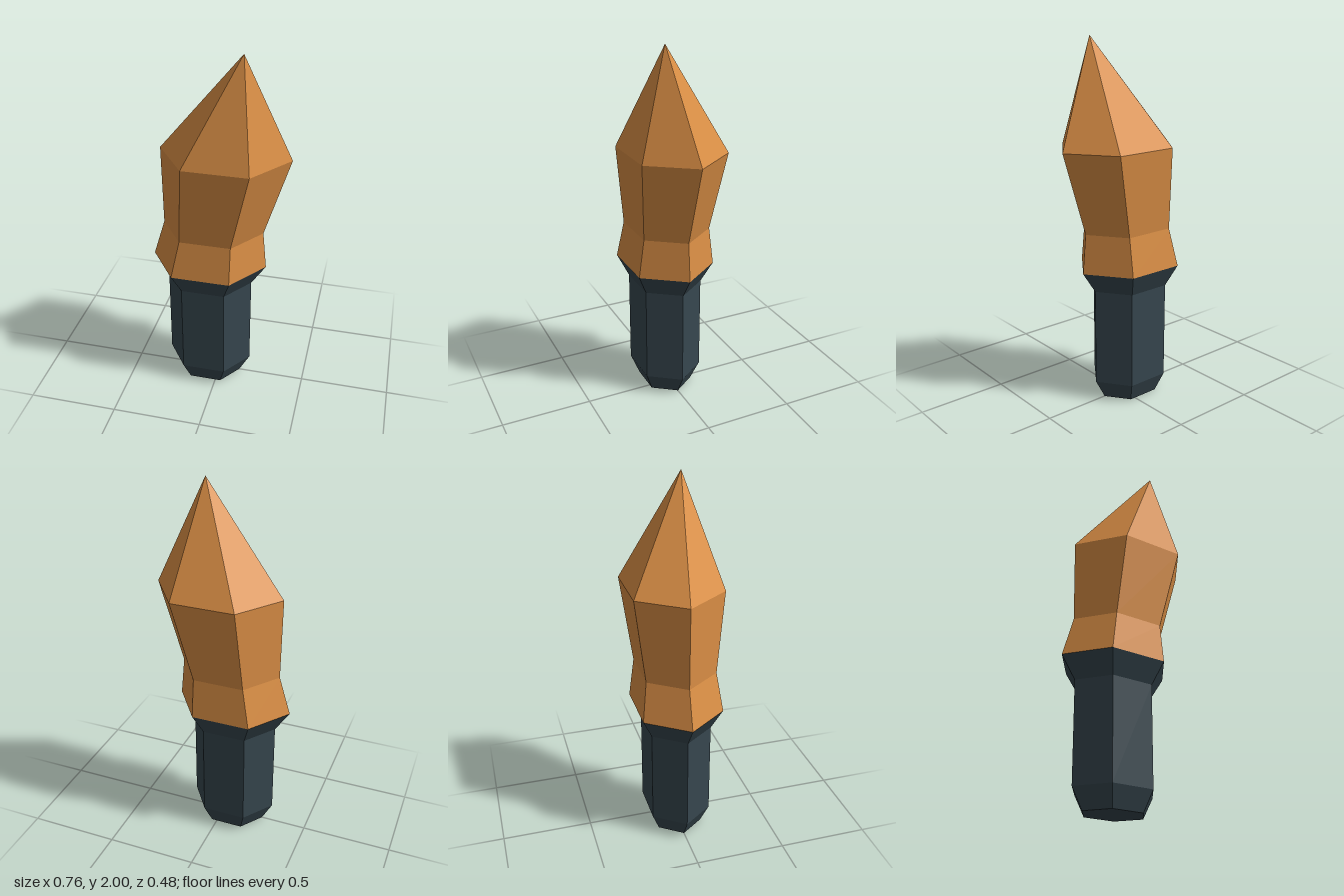
import * as THREE from 'three';

const SIDES = 6;

// Six-sided ring: height, centre x, half width, half depth
function ring([y, cx, rx, rz]) {
  return Array.from({ length: SIDES }, (_, i) => {
    const a = (i / SIDES) * Math.PI * 2;
    // the corner depth is sin(60 deg) of the ellipse radius
    return [cx + rx * Math.cos(a), y, (rz / Math.sin(Math.PI / 3)) * Math.sin(a)];
  });
}

// Skin a stack of rings, optionally closed by a bottom cap and an apex
function loft(sections, { base, apex } = {}) {
  const rings = sections.map(ring);
  const pos = [];
  const tri = (...pts) => pts.forEach((p) => pos.push(...p));
  for (let i = 0; i < SIDES; i++) {
    const j = (i + 1) % SIDES;
    for (let k = 0; k < rings.length - 1; k++) {
      const lo = rings[k], hi = rings[k + 1];
      tri(lo[i], hi[i], lo[j]);
      tri(hi[i], hi[j], lo[j]);
    }
    if (base) tri(base, rings[0][i], rings[0][j]);
    const top = rings[rings.length - 1];
    if (apex) tri(top[i], apex, top[j]);
  }
  const geo = new THREE.BufferGeometry();
  geo.setAttribute('position', new THREE.Float32BufferAttribute(pos, 3));
  geo.computeVertexNormals();
  return geo;
}

export function createModel() {
  const handleMat = new THREE.MeshStandardMaterial({ color: 0x37474f });
  handleMat.name = 'dark slate';
  const tipMat = new THREE.MeshStandardMaterial({ color: 0xdc9046 });
  tipMat.name = 'orange';

  // Straight grip with chamfered foot and flared collar
  const handle = new THREE.Mesh(loft([
    [0, -0.06, 0.18, 0.125],
    [0.11, -0.06, 0.24, 0.167],
    [0.65, -0.06, 0.24, 0.167],
    [0.77, -0.06, 0.32, 0.222],
  ], { base: [-0.06, 0, 0] }), handleMat);
  handle.name = 'handle';

  // Leaning head: waist, bulge, then an off-centre point
  const tip = new THREE.Mesh(loft([
    [0.77, -0.06, 0.32, 0.222],
    [0.985, -0.038, 0.278, 0.193],
    [1.435, 0.028, 0.35, 0.242],
  ], { apex: [0.135, 2, 0.085] }), tipMat);
  tip.name = 'pointedHead';

  const group = new THREE.Group();
  group.name = 'brush';
  group.add(handle, tip);
  return group;
}
